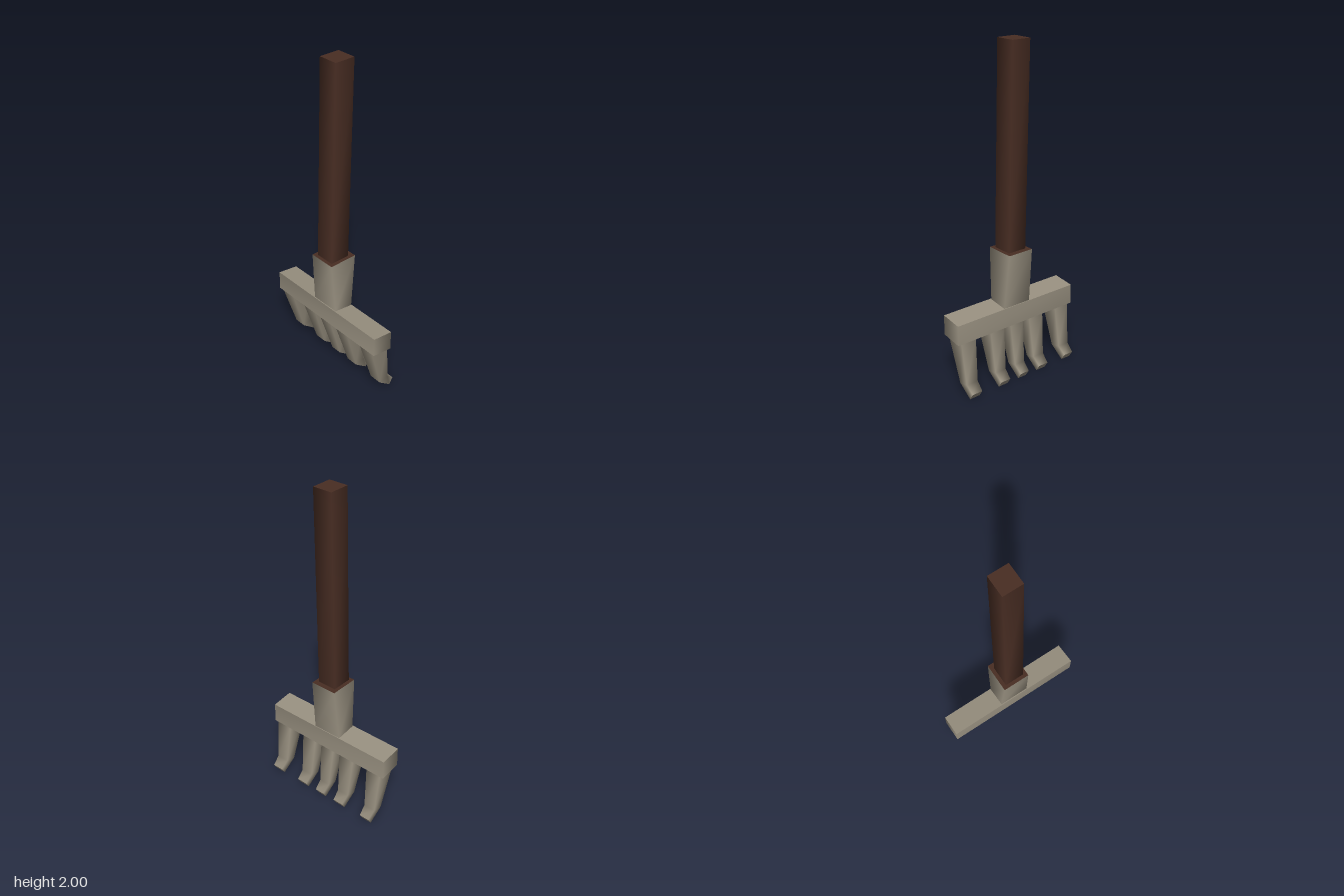
import * as THREE from 'three';

const metal = new THREE.MeshStandardMaterial({ color: 0x989080 });
metal.name = 'weathered metal';
const wood = new THREE.MeshStandardMaterial({ color: 0x482d23 });
wood.name = 'dark wood';

// Cross-section: x range, then the front and back edge as [z, y]
const section = (x0, x1, [zf, yf], [zb, yb]) => [
  [x0, yf, zf], [x1, yf, zf], [x1, yb, zb], [x0, yb, zb],
];

// Loft through four-cornered sections from bottom to top:
// smooth sides, sharp caps (group 0 sides and bottom, group 1 top cap)
function loft(name, sections, material, topMaterial = material) {
  const pos = sections.flat(2);
  const index = [];
  for (let s = 0; s < sections.length - 1; s++) {
    for (let i = 0; i < 4; i++) {
      const a = s * 4 + i, b = s * 4 + (i + 1) % 4;
      index.push(a, b, b + 4, a, b + 4, a + 4);
    }
  }
  const first = sections.length * 4;
  pos.push(...sections[0].flat(), ...sections[sections.length - 1].flat());
  index.push(first, first + 2, first + 1, first, first + 3, first + 2);
  const sides = index.length;
  index.push(first + 4, first + 5, first + 6, first + 4, first + 6, first + 7);
  const geometry = new THREE.BufferGeometry();
  geometry.setAttribute('position', new THREE.Float32BufferAttribute(pos, 3));
  geometry.setIndex(index);
  geometry.addGroup(0, sides, 0);
  geometry.addGroup(sides, 6, 1);
  geometry.computeVertexNormals();
  const mesh = new THREE.Mesh(geometry, [material, topMaterial]);
  mesh.name = name;
  return mesh;
}

export function createModel() {
  const rake = new THREE.Group();
  rake.name = 'rake';

  // Slightly leaning square handle
  rake.add(loft('handle', [
    section(-0.06, 0.06, [0.087, 0.78], [-0.038, 0.78]),
    section(-0.06, 0.06, [0.056, 2], [-0.07, 2]),
  ], wood));

  // Tapered socket with a wooden top face
  rake.add(loft('socket', [
    section(-0.093, 0.093, [0.086, 0.47], [-0.036, 0.455]),
    section(-0.083, 0.083, [0.108, 0.8], [-0.071, 0.8]),
  ], metal, wood));

  // Crossbar, tilted a little towards the back
  rake.add(loft('crossbar', [
    section(-0.427, 0.427, [0.093, 0.357], [-0.04, 0.338]),
    section(-0.427, 0.427, [0.093, 0.478], [-0.04, 0.46]),
  ], metal));

  // Five tines that taper down and hook backwards: [centre, top half-width, tip half-width]
  const tines = new THREE.Group();
  tines.name = 'tines';
  const layout = [
    [-0.352, 0.05, 0.032], [-0.147, 0.052, 0.033], [0, 0.048, 0.03],
    [0.145, 0.05, 0.033], [0.353, 0.051, 0.034],
  ];
  for (const [x, top, tip] of layout) {
    const bend = tip + 0.005;
    tines.add(loft('tine', [
      section(x - tip, x + tip, [-0.086, 0], [-0.112, 0.04]),
      section(x - bend, x + bend, [0, 0.07], [-0.063, 0.083]),
      section(x - top, x + top, [0.088, 0.36], [-0.036, 0.345]),
    ], metal));
  }
  rake.add(tines);
  return rake;
}
